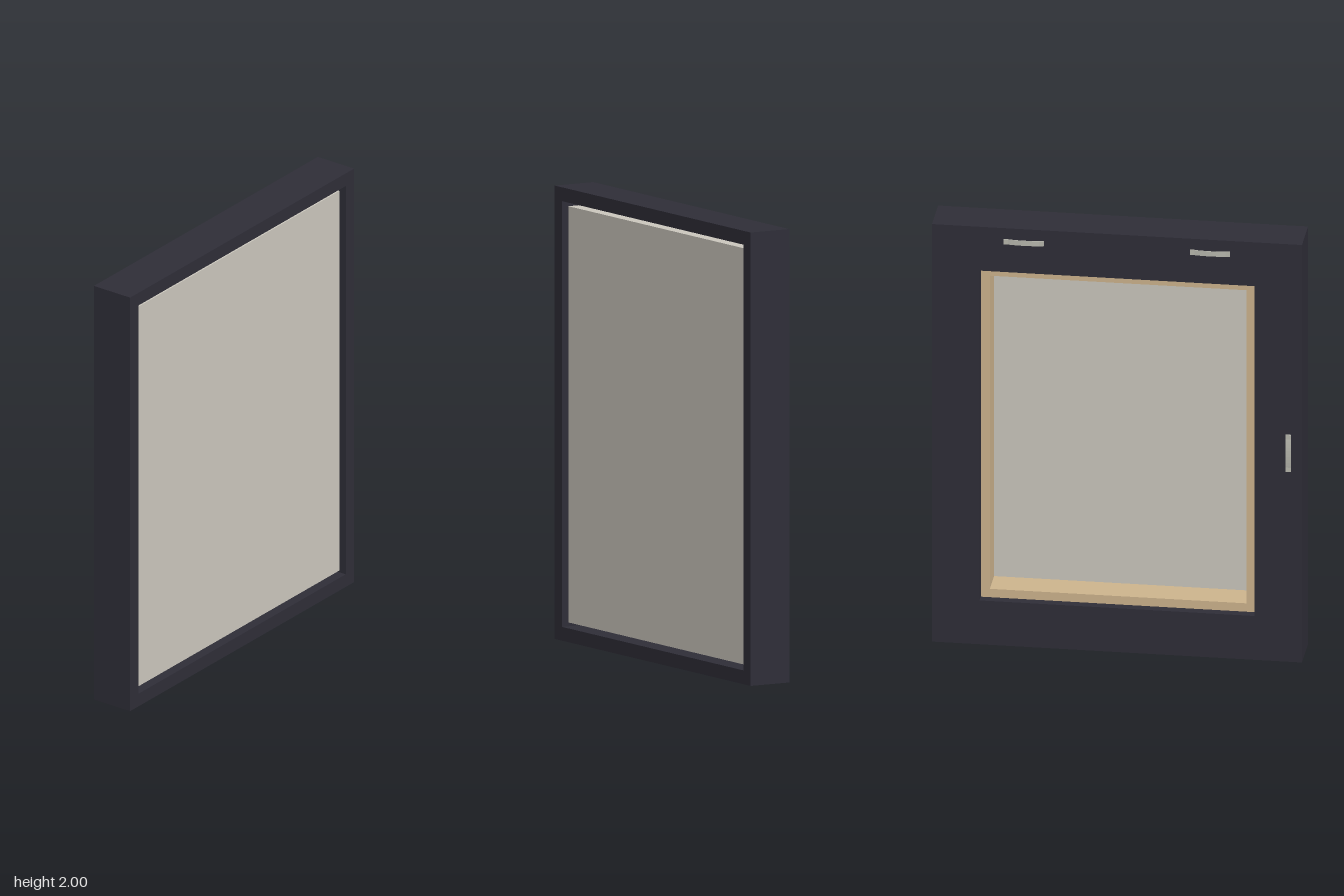
import * as THREE from 'three';

const W = 0.815, H = 1;               // half width and half height
const FRONT = 0.104, BACK = -0.094;   // frame faces
const CANVAS_Z = 0.085;               // canvas face, set back from the lip
const BAR_BACK = -0.054;              // back of the stretcher bars

const flat = (name, color) => {
  const m = new THREE.MeshStandardMaterial({ color });
  m.name = name;
  return m;
};

// Rectangle outline inset from the outer edge of the frame
function outline(Type, inset) {
  const x = W - inset, y = H - inset;
  const s = new Type();
  s.moveTo(-x, -y);
  s.lineTo(x, -y);
  s.lineTo(x, y);
  s.lineTo(-x, y);
  s.closePath();
  return s;
}

// Rectangular ring between two insets, from z0 to z1
function ring(name, outer, inner, z0, z1, material) {
  const shape = outline(THREE.Shape, outer);
  shape.holes.push(outline(THREE.Path, inner));
  const geo = new THREE.ExtrudeGeometry(shape, { depth: z1 - z0, bevelEnabled: false });
  geo.translate(0, H, z0);
  const mesh = new THREE.Mesh(geo, material);
  mesh.name = name;
  return mesh;
}

// Thin arched metal strip with two fixing feet, bulging towards -z
function hanger(name, x, y, vertical, material) {
  const g = new THREE.Group();
  g.name = name;
  const half = 0.088, width = 0.024, rise = 0.0105, thick = 0.003;
  const n = 12, upper = [], lower = [];
  for (let i = 0; i <= n; i++) {
    const t = i / n * 2 - 1;
    const v = (rise - thick) * (1 - t * t);
    upper.push(new THREE.Vector2(t * half, v + thick));
    lower.push(new THREE.Vector2(t * half, v));
  }
  const strip = new THREE.ExtrudeGeometry(
    new THREE.Shape([...lower, ...upper.reverse()]),
    { depth: width, bevelEnabled: false });
  strip.translate(0, 0, -width / 2);
  strip.rotateX(-Math.PI / 2);
  const bow = new THREE.Mesh(strip, material);
  bow.name = 'hangerStrip';
  g.add(bow);
  for (const side of [-1, 1]) {
    const foot = new THREE.Mesh(new THREE.BoxGeometry(0.02, width, 0.006), material);
    foot.name = 'hangerFoot';
    foot.position.set(side * (half - 0.01), 0, -0.003);
    g.add(foot);
  }
  if (vertical) g.rotation.z = Math.PI / 2;
  g.position.set(x, y, BACK);
  return g;
}

export function createModel() {
  const model = new THREE.Group();
  model.name = 'framedCanvas';
  const dark = flat('darkFrame', 0x2e2d37);
  const linen = flat('canvas', 0xcac6bc);
  const wood = flat('paleWood', 0xccb38c);
  const metal = flat('metal', 0xb8b8ae);

  // Floating frame: outer walls and the wide ledge at the back
  model.add(ring('outerFrame', 0, 0.061, BACK, FRONT, dark));
  model.add(ring('backLedge', 0.061, 0.21, BACK, BAR_BACK, dark));

  // Wooden stretcher bars with canvas wrapped round their edges
  model.add(ring('stretcherBars', 0.085, 0.25, BAR_BACK, CANVAS_Z - 0.003, wood));
  model.add(ring('canvasEdge', 0.082, 0.085, BAR_BACK, CANVAS_Z - 0.003, linen));
  const face = new THREE.Mesh(
    new THREE.BoxGeometry((W - 0.082) * 2, (H - 0.082) * 2, 0.003), linen);
  face.name = 'canvasFace';
  face.position.set(0, H, CANVAS_Z - 0.0015);
  model.add(face);

  // Hangers on the back: two along the top, one upright on the right side
  for (const side of [-1, 1]) {
    model.add(hanger(side > 0 ? 'topHangerLeft' : 'topHangerRight', side * 0.41, 1.937, false, metal));
  }
  model.add(hanger('sideHanger', -0.755, 1, true, metal));

  return model;
}
